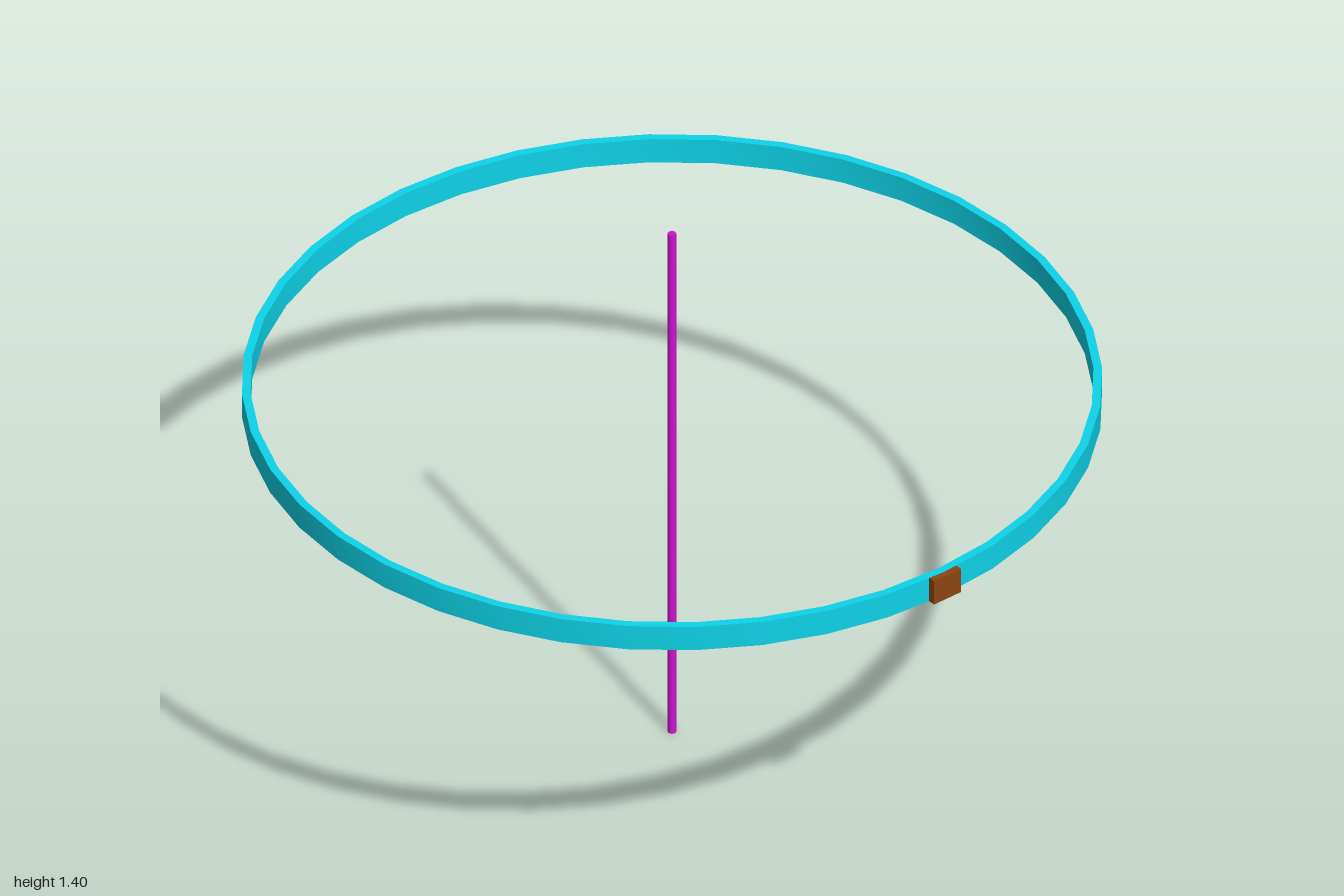
import * as THREE from 'three';
import { toCreasedNormals } from 'three/addons/utils/BufferGeometryUtils.js';

export function createModel() {
  const model = new THREE.Group();
  const centreX = -0.0075; // the tab on the left side shifts the ring's centre
  const bottom = 0.921, top = 0.986;
  const outer = 0.9925, inner = 0.9725;

  const addPart = (name, geometry, color, x, y) => {
    const mesh = new THREE.Mesh(geometry, new THREE.MeshStandardMaterial({ color }));
    mesh.name = name;
    mesh.position.set(x, y, 0);
    model.add(mesh);
  };

  // Flat band with a rectangular section, swept round the pole
  const section = [
    [inner, bottom], [outer, bottom], [outer, top], [inner, top], [inner, bottom],
  ].map(([x, y]) => new THREE.Vector2(x, y));
  const band = toCreasedNormals(new THREE.LatheGeometry(section, 40), Math.PI / 6);
  addPart('ring', band, 0x0ed3e8, centreX, 0);

  // Thin upright pole through the middle
  addPart('pole', new THREE.CylinderGeometry(0.01, 0.01, 1.4, 16), 0xcc14cc, centreX, 0.7);

  // Small tab on the outside of the ring
  addPart('tab', new THREE.BoxGeometry(0.02, top - bottom, 0.08), 0x8b4513, 0.99, (top + bottom) / 2);

  return model;
}
